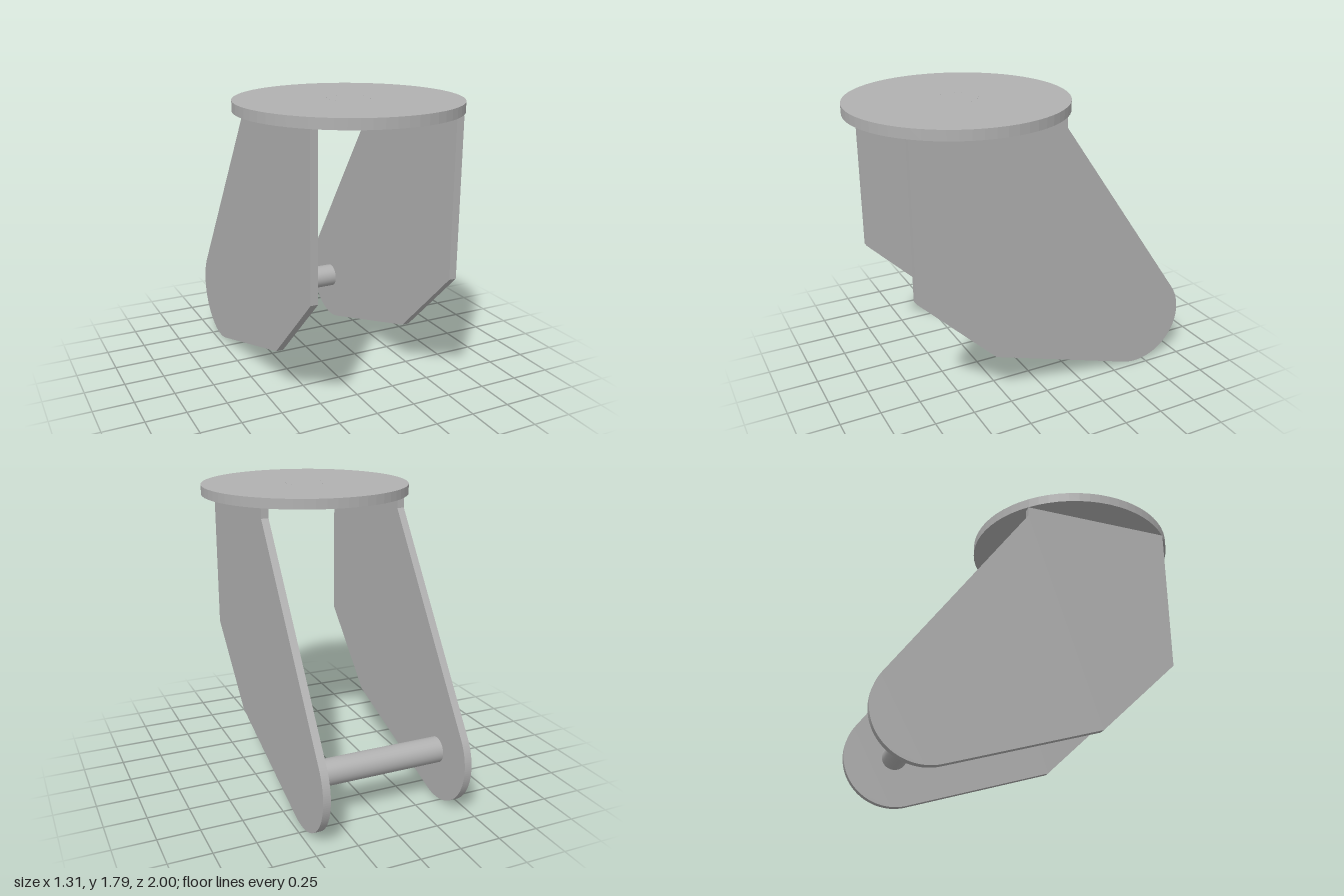
import * as THREE from 'three';

export function createModel() {
  const group = new THREE.Group();
  const steel = new THREE.MeshStandardMaterial({ color: 0xb0b0b0 });
  steel.name = 'grey steel';

  const add = (name, geometry, x, y, z) => {
    const mesh = new THREE.Mesh(geometry, steel);
    mesh.name = name;
    mesh.position.set(x, y, z);
    group.add(mesh);
    return mesh;
  };

  // Round mounting plate with a flush pivot plug in its centre
  const topY = 1.73, plateThickness = 0.06, swivelZ = 0.345, plugRadius = 0.125;
  const disc = new THREE.Shape().absarc(0, 0, 0.655, 0, Math.PI * 2, false);
  disc.holes.push(new THREE.Path().absarc(0, 0, plugRadius, 0, Math.PI * 2, true));
  const discGeometry = new THREE.ExtrudeGeometry(disc, {
    depth: plateThickness, bevelEnabled: false, curveSegments: 32,
  }).rotateX(-Math.PI / 2);
  add('mountingPlate', discGeometry, 0, topY, swivelZ);
  add('pivotPlug', new THREE.CylinderGeometry(plugRadius, plugRadius, plateThickness, 32),
    0, topY + plateThickness / 2, swivelZ);

  // Fork side outline: horizontal axis runs toward the back
  const axleY = 0.31, axleZ = -0.69, endRadius = 0.31;
  const side = new THREE.Shape();
  side.moveTo(-0.815, topY);
  side.lineTo(-0.815, 0.79);
  side.lineTo(-0.33, 0.315);
  side.absarc(-axleZ, axleY, endRadius, -1.88, 0.61, false);
  side.lineTo(0.12, 1.67);
  side.lineTo(0.12, topY);
  side.closePath();

  const innerX = 0.415, sideThickness = 0.045;
  const sideGeometry = new THREE.ExtrudeGeometry(side, {
    depth: sideThickness, bevelEnabled: false, curveSegments: 28,
  }).rotateY(Math.PI / 2);
  add('leftForkSide', sideGeometry, innerX, 0, 0);
  add('rightForkSide', sideGeometry, -innerX - sideThickness, 0, 0);

  // Axle between the fork sides
  const axle = new THREE.CylinderGeometry(0.078, 0.078, innerX * 2, 32).rotateZ(Math.PI / 2);
  add('axle', axle, 0, axleY, axleZ);

  return group;
}
